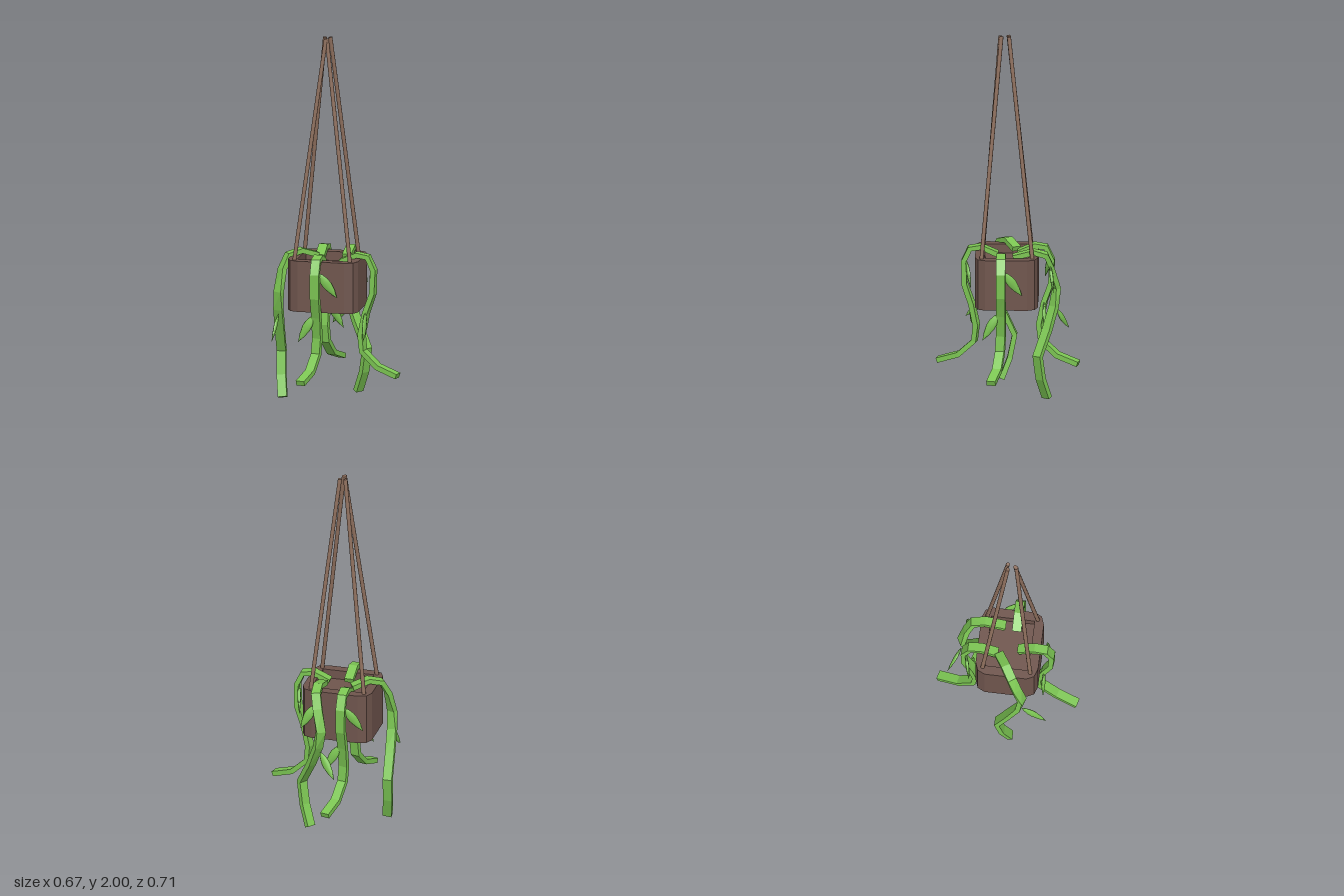
import * as THREE from 'three';

const V = (x, y, z) => new THREE.Vector3(x, y, z);
const potMat = new THREE.MeshStandardMaterial({ color: 0x6f554d, flatShading: true });
const ropeMat = new THREE.MeshStandardMaterial({ color: 0x8d6e5c });
const vineMat = new THREE.MeshStandardMaterial({ color: 0x7cc653, flatShading: true });
const leafMat = new THREE.MeshStandardMaterial({ color: 0x7cc653 });

function add(parent, name, geometry, material) {
  const mesh = new THREE.Mesh(geometry, material);
  mesh.name = name;
  parent.add(mesh);
  return mesh;
}

// Square-sided stem swept along points; its width turns from w0 to w1 (both [x, z])
function stemGeometry(points, w0, w1) {
  const n = points.length, pos = [], index = [];
  points.forEach((p, i) => {
    const before = points[Math.max(i - 1, 0)], after = points[Math.min(i + 1, n - 1)];
    const t = after.clone().sub(before).normalize();
    const k = THREE.MathUtils.smoothstep(i, 2, 6);
    const a = V(w0[0], 0, w0[1]).lerp(V(w1[0], 0, w1[1]), k);
    a.addScaledVector(t, -a.dot(t)).normalize();
    const b = t.clone().cross(a);
    for (const [s, r] of [[1, 1], [-1, 1], [-1, -1], [1, -1]]) {
      pos.push(...p.clone().addScaledVector(a, s * 0.025).addScaledVector(b, r * 0.014).toArray());
    }
  });
  for (let i = 0; i < n - 1; i++) {
    for (let j = 0; j < 4; j++) {
      const p = i * 4 + j, q = i * 4 + (j + 1) % 4;
      index.push(p, q, q + 4, p, q + 4, p + 4);
    }
  }
  const e = (n - 1) * 4;
  index.push(2, 1, 0, 3, 2, 0, e, e + 1, e + 2, e, e + 2, e + 3);
  const g = new THREE.BufferGeometry();
  g.setAttribute('position', new THREE.Float32BufferAttribute(pos, 3));
  g.setIndex(index);
  g.computeVertexNormals();
  return g;
}

// Pointed, flattened leaf from base to tip, with its flat side towards "out"
const leafProfile = [[0, 0], [0.014, 0.12], [0.024, 0.32], [0.025, 0.48], [0.016, 0.75], [0, 1]]
  .map(([r, y]) => new THREE.Vector2(r, y));
const leafGeo = new THREE.LatheGeometry(leafProfile, 8);

function addLeaf(parent, base, tip, out) {
  const y = tip.clone().sub(base);
  const dir = y.clone().normalize();
  const z = out.clone().addScaledVector(dir, -out.dot(dir)).normalize();
  const x = dir.clone().cross(z);
  const m = new THREE.Matrix4().makeBasis(x, y, z.multiplyScalar(0.4)).setPosition(base);
  add(parent, 'leaf', leafGeo.clone().applyMatrix4(m), leafMat);
}

// Rectangle with corners cut in two facets
function potOutline(hu, hv, ru, rv) {
  const pts = [];
  for (let c = 0; c < 4; c++) {
    const sx = c === 0 || c === 3 ? 1 : -1, sy = c < 2 ? 1 : -1;
    for (let k = 0; k < 3; k++) {
      const a = (c * 2 + k) * Math.PI / 4;
      pts.push(new THREE.Vector2(sx * (hu - ru) + ru * Math.cos(a), sy * (hv - rv) + rv * Math.sin(a)));
    }
  }
  return new THREE.Shape(pts);
}

export function createModel() {
  const model = new THREE.Group();
  model.name = 'hangingPlanter';

  // Pot with a rim, filled with soil a little below the rim
  const pot = new THREE.Group();
  pot.name = 'pot';
  pot.position.set(-0.053, 0.51, -0.019);
  pot.rotation.y = Math.PI / 6;
  model.add(pot);
  const outline = potOutline(0.193, 0.17, 0.064, 0.056);
  const hu = 0.143, hv = 0.118;
  outline.holes.push(new THREE.Path([[-hu, -hv], [-hu, hv], [hu, hv], [hu, -hv]]
    .map(([x, y]) => new THREE.Vector2(x, y))));
  const wall = new THREE.ExtrudeGeometry(outline, { depth: 0.28, bevelEnabled: false });
  add(pot, 'potWall', wall.rotateX(-Math.PI / 2), potMat);
  add(pot, 'soil', new THREE.BoxGeometry(hu * 2, 0.23, hv * 2), potMat).position.y = 0.115;

  // Four ropes from the rim corners to the hanging point: [bottom x, z, top x, z]
  const ropes = [
    [0, -0.213, -0.047, -0.036], [-0.252, -0.055, -0.071, -0.019],
    [0.148, 0.021, -0.036, 0.005], [-0.123, 0.173, -0.036, 0.012],
  ];
  for (const [bx, bz, tx, tz] of ropes) {
    const a = V(bx, 0.775, bz), b = V(tx, 1.998, tz), d = b.clone().sub(a);
    const rope = add(model, 'rope', new THREE.CylinderGeometry(0.011, 0.011, d.length(), 10), ropeMat);
    rope.position.copy(a).lerp(b, 0.5);
    rope.quaternion.setFromUnitVectors(V(0, 1, 0), d.normalize());
  }

  // Short vines share one curve, [distance outwards, height, sideways drift]
  const shortCurve = [
    [0, 0.77, 0], [0.09, 0.81, 0], [0.15, 0.8, 0], [0.182, 0.73, 0], [0.178, 0.6, 0],
    [0.14, 0.49, 0], [0.115, 0.37, 0], [0.125, 0.28, 0.005], [0.21, 0.2, 0.02], [0.325, 0.16, 0.05],
  ];
  // Each: start x, z and heading x, z
  const shortVines = [
    [0.03, -0.035, 0.866, -0.5], [-0.045, 0.035, 0.5, 0.866], [-0.13, -0.045, -0.5, -0.866],
  ];
  for (const [x, z, dx, dz] of shortVines) {
    const vine = new THREE.Group();
    vine.name = 'shortVine';
    model.add(vine);
    const at = (f, y, s) => V(x + dx * f - dz * s, y, z + dz * f + dx * s);
    add(vine, 'stem', stemGeometry(shortCurve.map(p => at(...p)), [-dz, dx], [-dz - dx * 0.25, dx - dz * 0.25]), vineMat);
    const out = V(dx, 0.3, dz);
    addLeaf(vine, at(0.17, 0.74, -0.015), at(0.14, 0.6, -0.115), out);
    addLeaf(vine, at(0.14, 0.5, 0.015), at(0.145, 0.35, 0.1), out);
  }

  // Long vines trail to the lowest point
  const longVines = [
    {
      path: [[-0.135, 0.785, -0.03], [-0.18, 0.815, 0.05], [-0.215, 0.795, 0.115], [-0.225, 0.72, 0.155],
        [-0.22, 0.6, 0.19], [-0.235, 0.5, 0.175], [-0.265, 0.38, 0.13], [-0.297, 0.25, 0.08],
        [-0.28, 0.12, 0.1], [-0.245, 0.006, 0.13]],
      w0: [-0.9, -0.42], w1: [-0.866, 0.5],
      leaves: [[[-0.22, 0.48, 0.19], [-0.163, 0.35, 0.31], [-0.9, 0.3, 0.4]]],
    },
    {
      path: [[0.015, 0.785, -0.1], [-0.04, 0.815, -0.195], [-0.08, 0.795, -0.25], [-0.11, 0.72, -0.268],
        [-0.145, 0.6, -0.278], [-0.12, 0.5, -0.275], [-0.06, 0.38, -0.268], [0.02, 0.25, -0.258],
        [-0.005, 0.12, -0.262], [-0.055, 0.006, -0.27]],
      w0: [0.866, -0.5], w1: [0.1, -1],
      leaves: [
        [[-0.14, 0.48, -0.28], [-0.258, 0.35, -0.288], [-0.2, 0.3, -0.9]],
        [[-0.09, 0.74, -0.27], [-0.035, 0.6, -0.325], [-0.6, 0.3, -0.7]],
      ],
    },
  ];
  for (const { path, w0, w1, leaves } of longVines) {
    const vine = new THREE.Group();
    vine.name = 'longVine';
    model.add(vine);
    add(vine, 'stem', stemGeometry(path.map(p => V(...p)), w0, w1), vineMat);
    for (const [base, tip, out] of leaves) addLeaf(vine, V(...base), V(...tip), V(...out));
  }
  return model;
}
